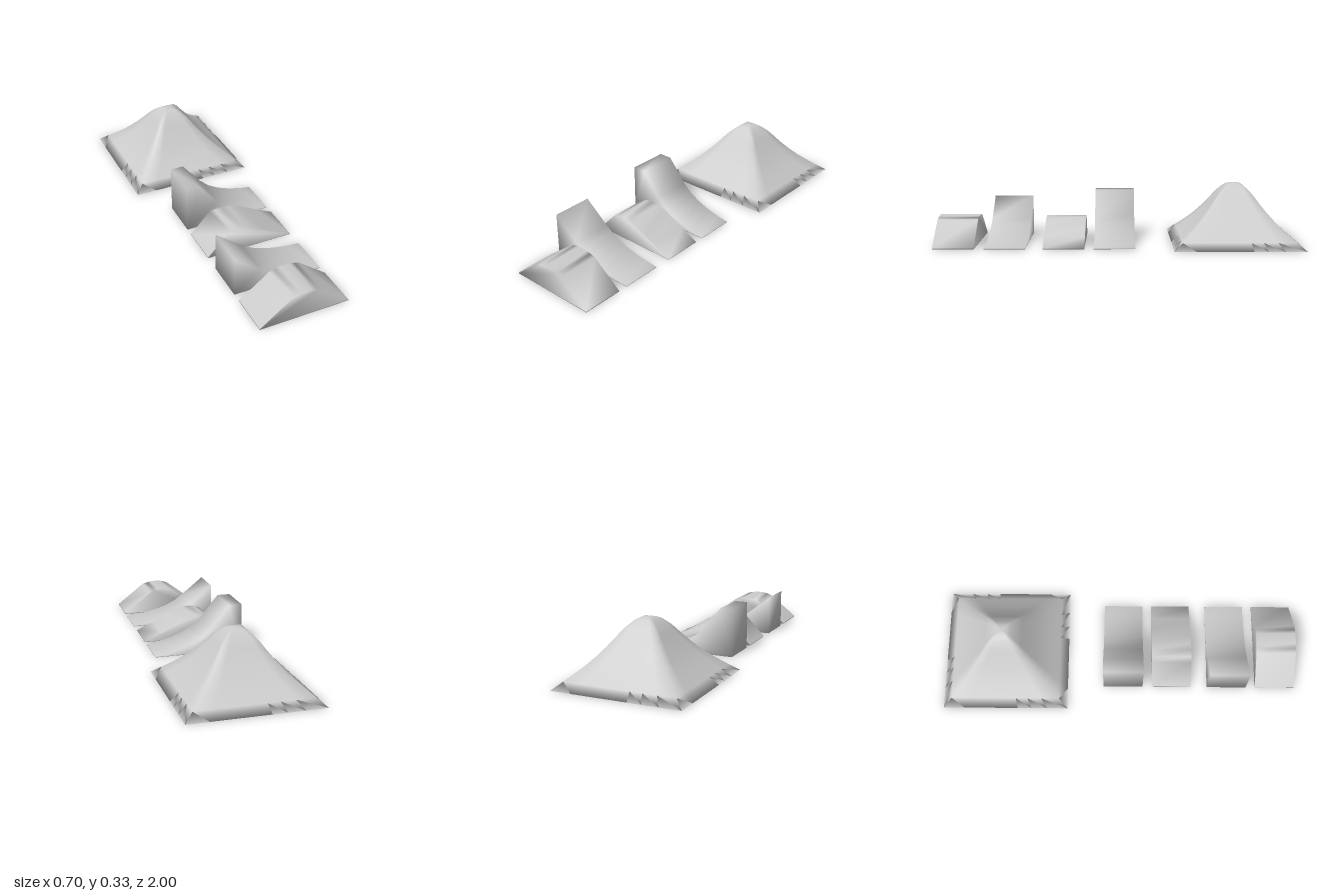
import * as THREE from 'three';
import { mergeVertices } from 'three/addons/utils/BufferGeometryUtils.js';

const material = new THREE.MeshStandardMaterial({ color: 0xcccccc });

// Weld the corners so the shading rolls softly over every edge
function soften(geometry) {
  geometry.deleteAttribute('normal');
  geometry.deleteAttribute('uv');
  const welded = mergeVertices(geometry, 1e-4);
  welded.computeVertexNormals();
  return welded;
}

// A ramp: side profile in x and y, extruded along z
function makeRamp(name, profile, z, depth = 0.223) {
  const shape = new THREE.Shape();
  shape.moveTo(-0.22, 0);
  shape.lineTo(0.277, 0);
  for (const [x, y] of [...profile].reverse()) shape.lineTo(x, y);
  const geometry = new THREE.ExtrudeGeometry(shape, { depth, bevelEnabled: false });
  geometry.translate(0, 0, -depth / 2);
  const mesh = new THREE.Mesh(soften(geometry), material);
  mesh.name = name;
  mesh.position.z = z;
  return mesh;
}

// Hill with a square plan: a lathe whose rings are pushed out to squares
function makeHill() {
  const profile = [
    [0, 0], [0.18, 0], [0.352, 0], [0.305, 0.039], [0.258, 0.08], [0.222, 0.113],
    [0.187, 0.15], [0.15, 0.194], [0.117, 0.237], [0.1, 0.261], [0.085, 0.28],
    [0.065, 0.3], [0.047, 0.317], [0.03, 0.325], [0.015, 0.328], [0, 0.329],
  ].map(([r, y]) => new THREE.Vector2(r, y));
  const geometry = new THREE.LatheGeometry(profile, 32);
  const p = geometry.attributes.position;
  for (let i = 0; i < p.count; i++) {
    const x = p.getX(i), z = p.getZ(i);
    const largest = Math.max(Math.abs(x), Math.abs(z));
    if (largest < 1e-6) continue;
    const k = Math.hypot(x, z) / largest;
    p.setXYZ(i, x * k, p.getY(i), z * k);
  }
  const mesh = new THREE.Mesh(soften(geometry), material);
  mesh.name = 'hill';
  mesh.position.z = -0.648;
  return mesh;
}

export function createModel() {
  const group = new THREE.Group();
  group.name = 'terrainSet';
  group.add(makeHill());

  // Even mound
  group.add(makeRamp('roundMound', [
    [-0.22, 0.007], [-0.055, 0.133], [-0.03, 0.142], [0, 0.148], [0.03, 0.149],
    [0.06, 0.147], [0.085, 0.141], [0.112, 0.134], [0.277, 0.006],
  ], 0.888));

  // Pointed slide
  group.add(makeRamp('pointedSlide', [
    [-0.22, 0.224], [-0.08, 0.113], [-0.04, 0.085], [0.01, 0.059], [0.07, 0.038],
    [0.14, 0.021], [0.21, 0.01], [0.277, 0.004],
  ], 0.612));

  // Lopsided mound
  group.add(makeRamp('lopsidedMound', [
    [-0.22, 0.006], [-0.11, 0.121], [-0.08, 0.13], [-0.04, 0.134], [0, 0.131],
    [0.05, 0.116], [0.11, 0.088], [0.18, 0.05], [0.277, 0.004],
  ], 0.295));

  // Tall slide with a flat landing
  group.add(makeRamp('tallSlide', [
    [-0.22, 0.267], [-0.147, 0.267], [-0.04, 0.138], [0.01, 0.094], [0.07, 0.06],
    [0.14, 0.033], [0.21, 0.015], [0.277, 0.004],
  ], 0.021));

  return group;
}
